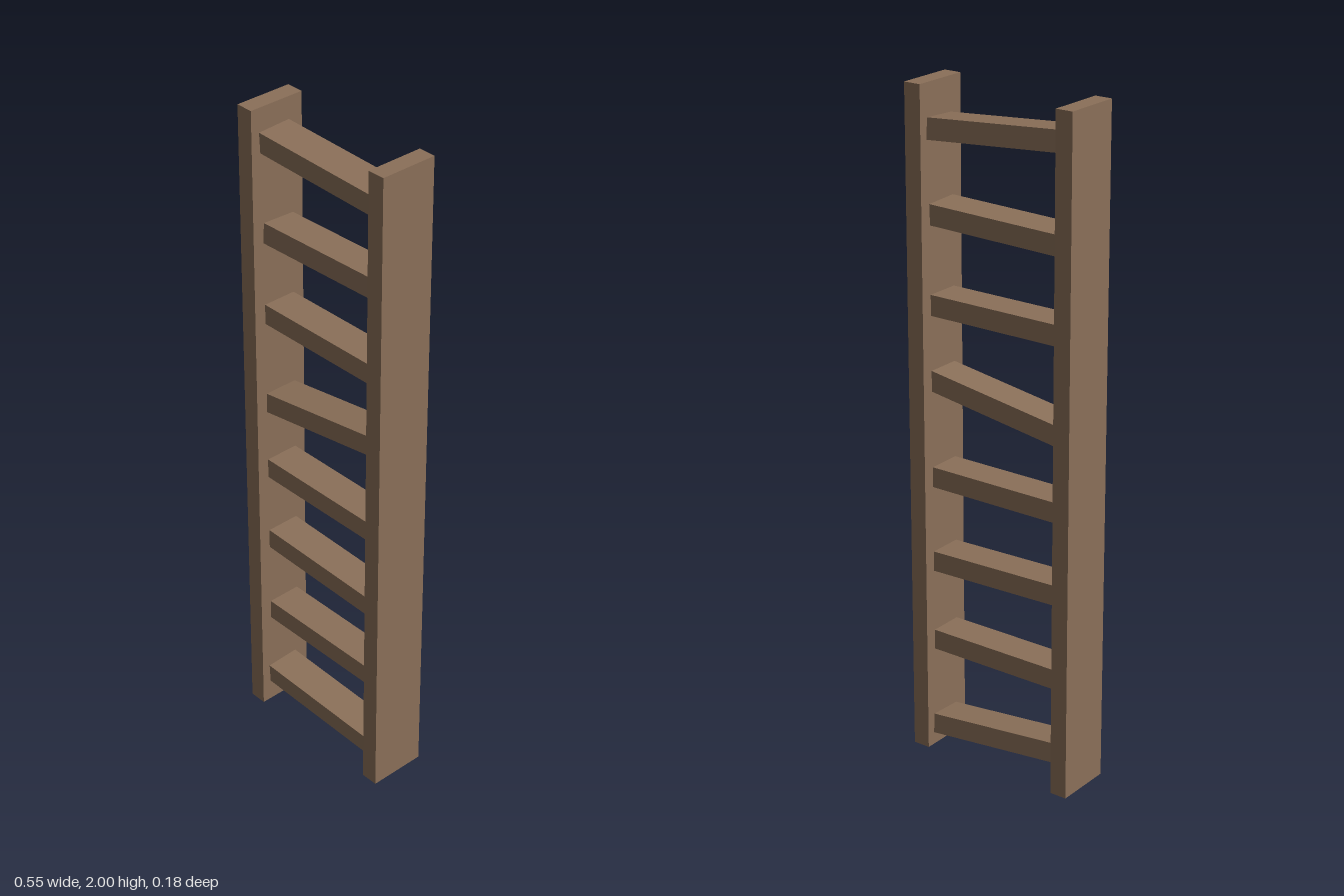
import * as THREE from 'three';

export function createModel() {
  const ladder = new THREE.Group();
  ladder.name = 'ladder';
  const wood = new THREE.MeshStandardMaterial({ color: 0x8b7059, flatShading: true });

  // Two upright side rails
  const railGeometry = new THREE.BoxGeometry(0.053, 2, 0.176);
  for (const side of [-1, 1]) {
    const rail = new THREE.Mesh(railGeometry, wood);
    rail.name = side > 0 ? 'leftRail' : 'rightRail';
    rail.position.set(side * 0.249, 1, 0);
    ladder.add(rail);
  }

  // Uneven rungs: height at the -x end, height at the +x end, roll, yaw
  const rungs = [
    [0.102, 0.066, 0.05, 0.033],
    [0.343, 0.343, 0, 0],
    [0.606, 0.594, 0, 0],
    [0.857, 0.857, 0, 0],
    [1.081, 1.148, 0, 0],
    [1.372, 1.372, 0, 0],
    [1.624, 1.634, -0.04, 0],
    [1.901, 1.871, 0.05, 0.033],
  ];
  const span = 0.444;
  rungs.forEach(([y0, y1, roll, yaw], i) => {
    const rung = new THREE.Mesh(new THREE.BoxGeometry(0.47, 0.061, 0.104), wood);
    rung.name = `rung${i + 1}`;
    rung.position.y = (y0 + y1) / 2;
    rung.rotation.set(roll, yaw, Math.atan2(y1 - y0, span));
    ladder.add(rung);
  });

  return ladder;
}
